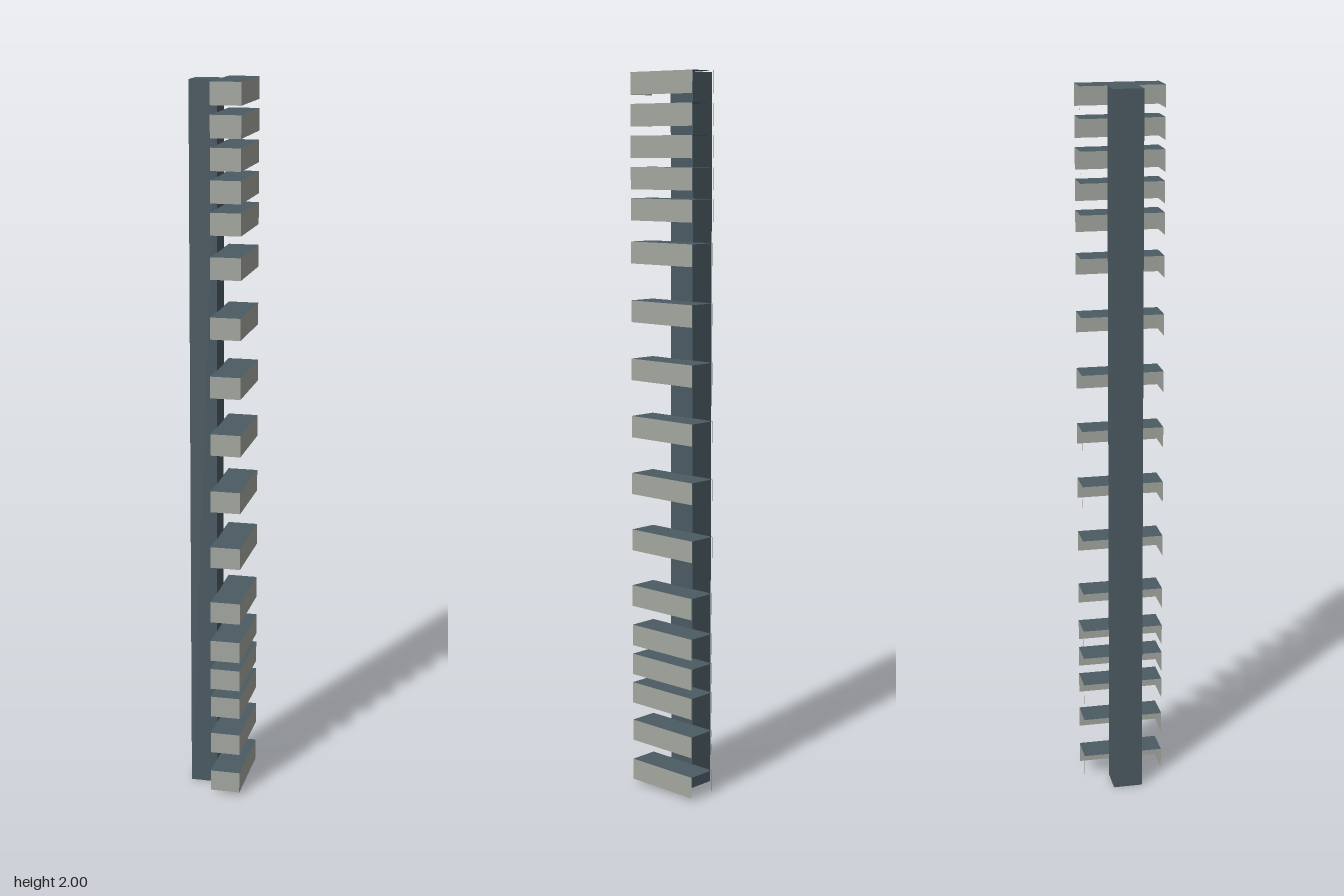
import * as THREE from 'three';

export function createModel() {
  const model = new THREE.Group();
  model.name = 'slattedPost';

  const slate = new THREE.MeshStandardMaterial({ color: 0x4b5a62, side: THREE.DoubleSide });
  slate.name = 'slate';
  const grey = new THREE.MeshStandardMaterial({ color: 0xa3a69f, side: THREE.DoubleSide });
  grey.name = 'pale grey';

  const add = (parent, name, geometry, material, x, y, z) => {
    const mesh = new THREE.Mesh(geometry, material);
    mesh.name = name;
    mesh.position.set(x, y, z);
    parent.add(mesh);
  };

  // Square upright
  add(model, 'post', new THREE.BoxGeometry(0.076, 2, 0.082), slate, -0.041, 1, 0);

  // Open sheet slats: dark top, pale long face and one pale end
  const x0 = -0.005, x1 = 0.078, halfZ = 0.114, height = 0.06;
  const width = x1 - x0, midX = (x0 + x1) / 2;
  const topSheet = new THREE.PlaneGeometry(width, 2 * halfZ).rotateX(-Math.PI / 2);
  const longSheet = new THREE.PlaneGeometry(2 * halfZ, height).rotateY(Math.PI / 2);
  const endSheet = new THREE.PlaneGeometry(width, height);
  const cornerStrip = new THREE.PlaneGeometry(0.002, height);

  // Heights of the slat tops, bunched near both ends of the post
  const tops = [
    2, 1.916, 1.832, 1.748, 1.664, 1.547, 1.386, 1.225, 1.065,
    0.904, 0.743, 0.582, 0.467, 0.382, 0.298, 0.187, 0.07,
  ];
  for (const top of tops) {
    const slat = new THREE.Group();
    slat.name = 'slat';
    slat.position.y = top;
    add(slat, 'slatTop', topSheet, slate, midX, 0, 0);
    add(slat, 'slatLongFace', longSheet, grey, x1, -height / 2, 0);
    add(slat, 'slatEnd', endSheet, grey, midX, -height / 2, halfZ);
    add(slat, 'slatCornerStrip', cornerStrip, grey, x0 + 0.001, -height / 2, -halfZ);
    model.add(slat);
  }
  return model;
}
